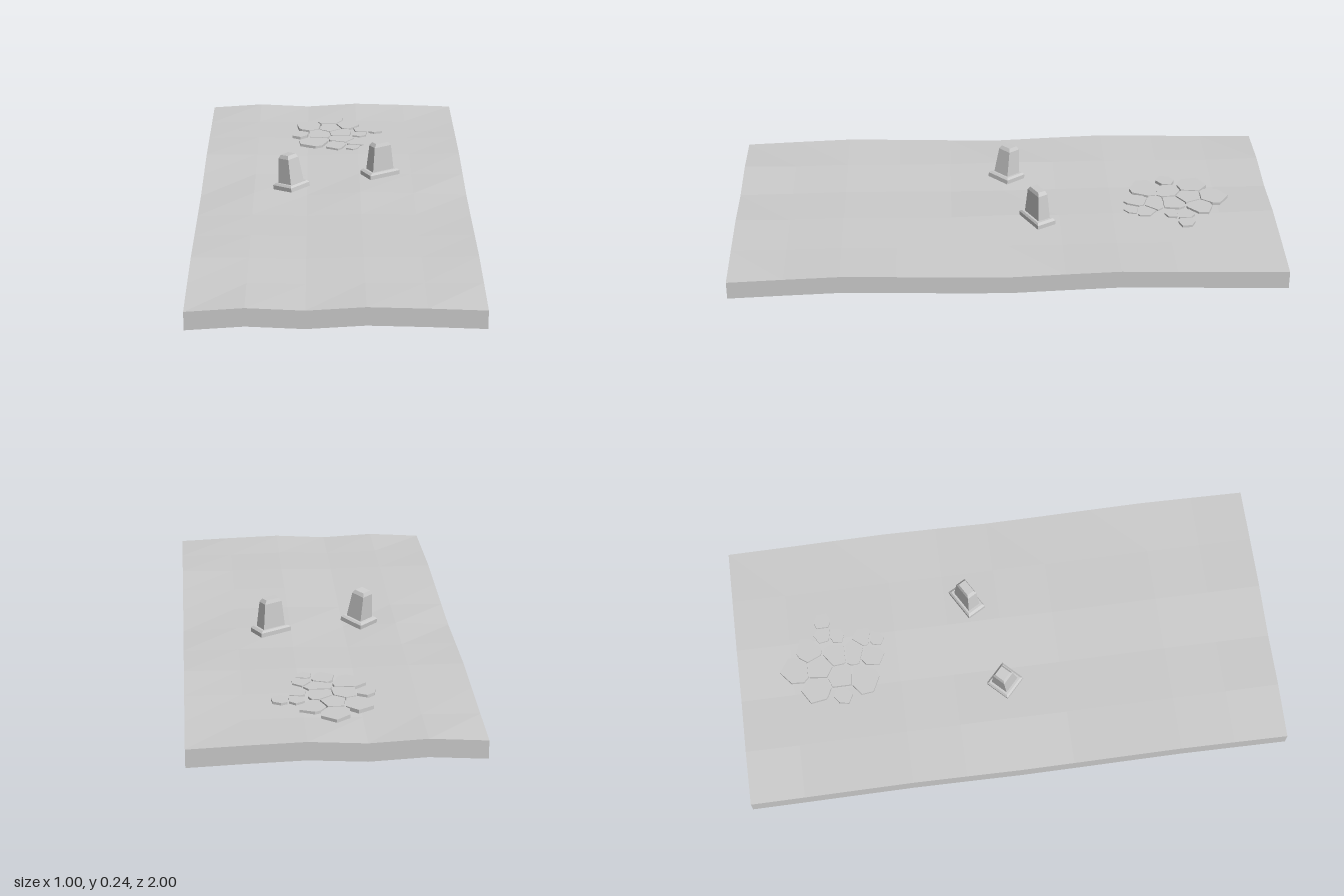
import * as THREE from 'three';

const material = new THREE.MeshStandardMaterial({ color: 0xcccccc, flatShading: true, side: THREE.DoubleSide });
const SLAB = 0.067;

// Ground relief along a tile, left to right and back to front
const RELIEF_X = [0, 0.013, 0.003, 0.015, 0.009, 0.001];
const RELIEF_Z = [0, 0.004, 0.010, 0.015, 0.008, 0];

// The rim follows the profiles exactly, the inside averages them
function relief(col, row) {
  const rim = col % 5 === 0 || row % 5 === 0;
  return (RELIEF_X[col] + RELIEF_Z[row]) * (rim ? 1 : 0.5);
}

// Square ground tile, hollow and open underneath
function tileGeometry() {
  const geo = new THREE.BoxGeometry(1, SLAB, 1, 5, 1, 5);
  const bottom = geo.groups[3];
  const index = Array.from(geo.index.array);
  index.splice(bottom.start, bottom.count);
  geo.setIndex(index);
  geo.clearGroups();
  const p = geo.attributes.position;
  for (let i = 0; i < p.count; i++) {
    const col = Math.round((p.getX(i) + 0.5) * 5);
    const row = Math.round((p.getZ(i) + 0.5) * 5);
    p.setY(i, p.getY(i) + SLAB / 2 + relief(col, row));
  }
  geo.computeVertexNormals();
  return geo;
}

// Closed stack of rectangular sections [y, width, depth]
function stackGeometry(sections) {
  const pos = [], index = [];
  for (const [y, w, d] of sections) {
    for (const [a, b] of [[-1, 1], [1, 1], [1, -1], [-1, -1]]) pos.push(a * w / 2, y, b * d / 2);
  }
  for (let s = 0; s < sections.length - 1; s++) {
    for (let k = 0; k < 4; k++) {
      const a = s * 4 + k, b = s * 4 + (k + 1) % 4;
      index.push(a, b, b + 4, a, b + 4, a + 4);
    }
  }
  const t = (sections.length - 1) * 4;
  index.push(0, 2, 1, 0, 3, 2, t, t + 1, t + 2, t, t + 2, t + 3);
  const geo = new THREE.BufferGeometry();
  geo.setAttribute('position', new THREE.Float32BufferAttribute(pos, 3));
  geo.setIndex(index);
  const flat = geo.toNonIndexed();
  flat.computeVertexNormals();
  return flat;
}

function mesh(name, geo) {
  const m = new THREE.Mesh(geo, material);
  m.name = name;
  return m;
}

// Stone post: bevelled plinth with a tapering, chamfered shaft
function post(name, w, d, bw, bd) {
  const g = new THREE.Group();
  g.name = name;
  g.add(mesh('plinth', stackGeometry([[0, w, d], [0.016, w, d], [0.023, w * 0.86, d * 0.86]])));
  g.add(mesh('shaft', stackGeometry([
    [0.02, bw, bd],
    [0.118, bw * 0.78, bd * 0.78],
    [0.131, bw * 0.58, bd * 0.58],
  ])));
  return g;
}

// Paving stone centres and reach: [x, z, radius]
const STONES = [
  [-0.01, -0.78, 0.06], [-0.09, -0.71, 0.06], [-0.01, -0.70, 0.07], [0.06, -0.73, 0.055],
  [-0.13, -0.62, 0.035], [-0.06, -0.62, 0.08], [0.04, -0.63, 0.06], [-0.07, -0.54, 0.07],
  [0.04, -0.56, 0.06], [0.02, -0.50, 0.05], [0.09, -0.52, 0.04], [0.12, -0.67, 0.035],
  [0.17, -0.67, 0.035], [0.11, -0.62, 0.03], [0.08, -0.475, 0.03],
];
const CRACK = 0.006;

// Keep the side of a polygon where dot(point, normal) <= limit
function clip(points, normal, limit) {
  const out = [];
  points.forEach((p, i) => {
    const q = points[(i + 1) % points.length];
    const dp = p.dot(normal) - limit, dq = q.dot(normal) - limit;
    if (dp <= 0) out.push(p);
    if (dp * dq < 0) out.push(p.clone().lerp(q, dp / (dp - dq)));
  });
  return out;
}

// Each stone is a rough hexagon cut back halfway to its neighbours
function paving() {
  const g = new THREE.Group();
  g.name = 'crackedPaving';
  const centres = STONES.map(([x, z]) => new THREE.Vector2(x, -z));
  centres.forEach((centre, i) => {
    let outline = [];
    for (let k = 0; k < 6; k++) {
      const angle = (k * Math.PI) / 3 + Math.PI / 6;
      const r = STONES[i][2] * (1 + 0.12 * Math.sin(i * 5 + k * 2));
      outline.push(new THREE.Vector2(Math.cos(angle), Math.sin(angle)).multiplyScalar(r).add(centre));
    }
    for (const other of centres) {
      if (other === centre) continue;
      const normal = other.clone().sub(centre).normalize();
      const middle = other.clone().add(centre).multiplyScalar(0.5);
      outline = clip(outline, normal, middle.dot(normal) - CRACK / 2);
    }
    const geo = new THREE.ExtrudeGeometry(new THREE.Shape(outline), { depth: 0.014, bevelEnabled: false });
    geo.rotateX(-Math.PI / 2);
    geo.translate(0, 0.072, 0);
    g.add(mesh('pavingStone', geo));
  });
  return g;
}

export function createModel() {
  const model = new THREE.Group();
  model.name = 'groundWithPosts';

  // Two identical tiles, front and back
  const tile = tileGeometry();
  for (const [name, z] of [['frontGround', 0.5], ['backGround', -0.5]]) {
    const m = mesh(name, tile);
    m.position.z = z;
    model.add(m);
  }

  model.add(paving());

  // Leaning post on the right
  const leaning = post('leaningPost', 0.097, 0.097, 0.068, 0.068);
  leaning.children.forEach((c) => { c.rotation.y = Math.PI / 4; });
  leaning.rotation.set(-0.09, 0, 0.1);
  leaning.position.set(-0.158, 0.096, -0.013);
  model.add(leaning);

  // Upright post on the left
  const upright = post('uprightPost', 0.128, 0.075, 0.092, 0.05);
  upright.rotation.y = Math.PI / 6;
  upright.position.set(0.177, 0.109, -0.115);
  model.add(upright);

  return model;
}
